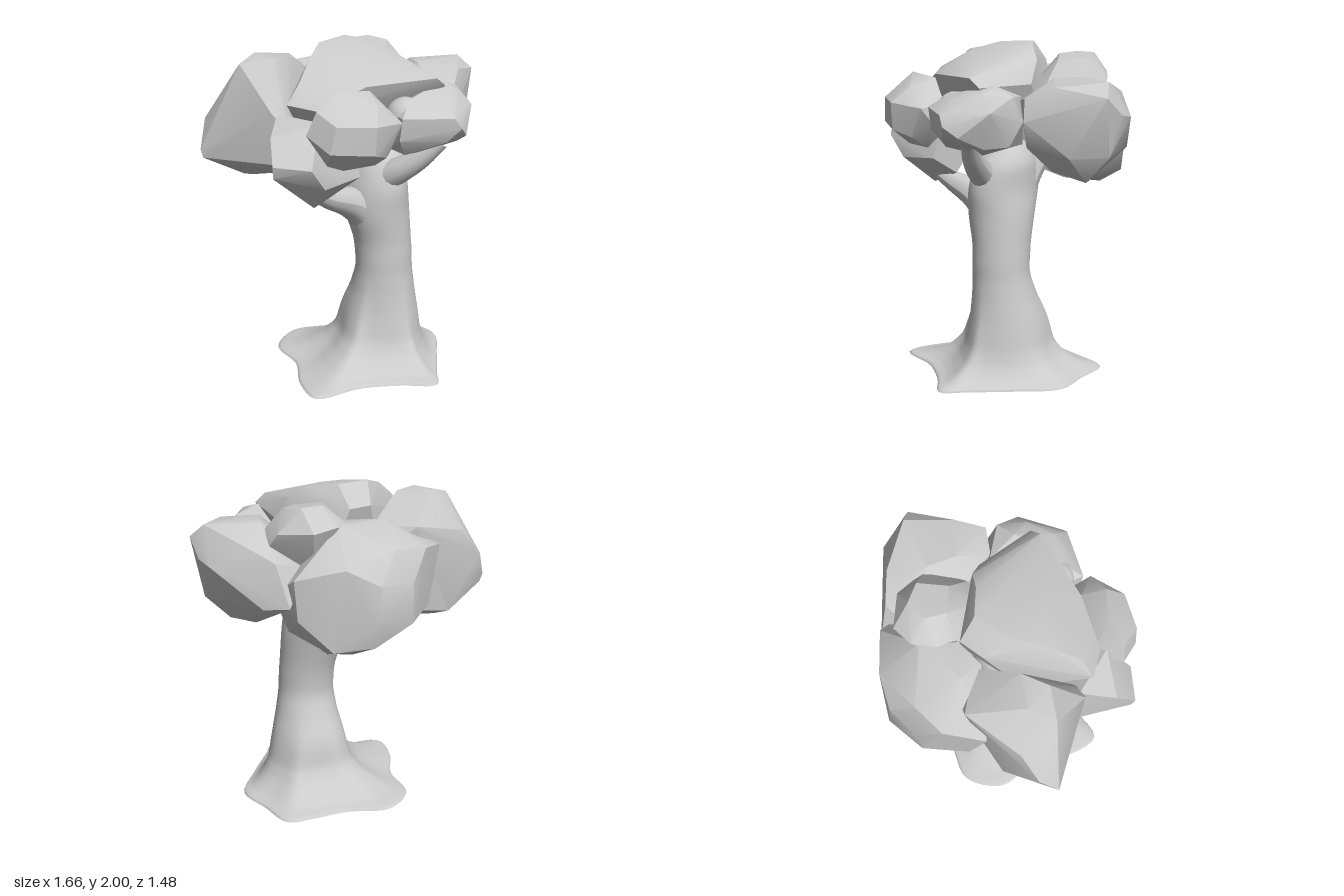
import * as THREE from 'three';
import { ConvexGeometry } from 'three/addons/geometries/ConvexGeometry.js';
import { toCreasedNormals } from 'three/addons/utils/BufferGeometryUtils.js';

const material = new THREE.MeshStandardMaterial({ color: 0xcccccc });
const vec = (p) => new THREE.Vector3(...p);

function addMesh(group, name, geometry) {
  const mesh = new THREE.Mesh(geometry, material);
  mesh.name = name;
  group.add(mesh);
}

// Outline of the spreading root flare on the ground (x, z)
const rootOutline = new THREE.CatmullRomCurve3([
  [0.52, 0.19], [0.33, 0.4], [0.14, 0.58], [0.02, 0.69], [-0.14, 0.55], [-0.35, 0.41], [-0.62, 0.33],
  [-0.57, 0.12], [-0.42, -0.1], [-0.37, -0.33], [-0.28, -0.42], [-0.12, -0.47], [0.1, -0.36],
  [0.3, -0.32], [0.47, -0.27], [0.5, -0.04],
].map(([x, z]) => new THREE.Vector3(x, 0, z)), true);

// Trunk: loops that change from the root outline into ellipses
function trunkGeometry(around = 72, up = 60) {
  // height, centre x, centre z, radius x, radius z, share of root outline
  const rows = [
    [0, 0.08, 0.16, 0.2, 0.2, 1], [0.012, 0.08, 0.16, 0.2, 0.2, 0.97],
    [0.03, 0.08, 0.16, 0.2, 0.2, 0.78], [0.06, 0.08, 0.16, 0.2, 0.2, 0.6],
    [0.12, 0.08, 0.16, 0.2, 0.2, 0.38], [0.2, 0.08, 0.16, 0.2, 0.205, 0.22],
    [0.35, 0.075, 0.155, 0.2, 0.21, 0.1], [0.5, 0.065, 0.175, 0.185, 0.187, 0.03],
    [0.65, 0.055, 0.19, 0.175, 0.17, 0], [0.8, 0.05, 0.18, 0.175, 0.175, 0],
    [1.0, 0.025, 0.15, 0.195, 0.205, 0], [1.15, 0.02, 0.125, 0.185, 0.235, 0],
    [1.3, 0.04, 0.12, 0.165, 0.2, 0], [1.45, 0.05, 0.08, 0.09, 0.09, 0],
  ];
  const spine = new THREE.CatmullRomCurve3(rows.map((r) => vec(r.slice(0, 3))));
  const girth = new THREE.CatmullRomCurve3(rows.map((r) => vec(r.slice(3))));
  const position = [], index = [];
  for (let j = 0; j <= up; j++) {
    const s = spine.getPoint(j / up), g = girth.getPoint(j / up);
    for (let i = 0; i < around; i++) {
      const b = rootOutline.getPoint(i / around);
      const a = Math.atan2(b.z - 0.16, b.x - 0.06);
      const x = s.y + g.x * Math.cos(a), z = s.z + g.y * Math.sin(a);
      position.push(x + (b.x - x) * g.z, Math.max(0, s.x), z + (b.z - z) * g.z);
      if (j === up) continue;
      const p = j * around + i, q = j * around + (i + 1) % around;
      index.push(p, p + around, q, q, p + around, q + around);
    }
  }
  const geometry = new THREE.BufferGeometry();
  geometry.setAttribute('position', new THREE.Float32BufferAttribute(position, 3));
  geometry.setIndex(index);
  geometry.computeVertexNormals();
  return geometry;
}

// Tapered limb: a tube whose loops shrink along its path
function limbGeometry(points, r0, r1) {
  const path = new THREE.CatmullRomCurve3(points.map(vec));
  const along = 14, around = 14;
  const geometry = new THREE.TubeGeometry(path, along, r0, around);
  const pos = geometry.attributes.position, v = new THREE.Vector3();
  for (let k = 0; k < pos.count; k++) {
    const t = Math.floor(k / (around + 1)) / along;
    const c = path.getPointAt(t);
    v.fromBufferAttribute(pos, k).sub(c).multiplyScalar(1 + (r1 / r0 - 1) * t).add(c);
    pos.setXYZ(k, v.x, v.y, v.z);
  }
  geometry.computeVertexNormals();
  return geometry;
}

export function createModel() {
  const tree = new THREE.Group();
  tree.name = 'tree';

  addMesh(tree, 'trunk', trunkGeometry());
  const base = new THREE.Shape(rootOutline.getPoints(72).map((p) => new THREE.Vector2(p.x, p.z)));
  addMesh(tree, 'trunkUnderside', new THREE.ShapeGeometry(base).rotateX(Math.PI / 2));

  // Branches
  const limb = (name, r0, r1, ...points) => addMesh(tree, name, limbGeometry(points, r0, r1));
  limb('rightBranch', 0.13, 0.03, [0.0, 0.95, 0.15], [-0.18, 1.07, 0.15], [-0.36, 1.14, 0.17], [-0.55, 1.23, 0.2]);
  limb('backBranch', 0.14, 0.03, [0.03, 0.97, 0.12], [-0.03, 1.07, -0.05], [-0.15, 1.14, -0.23], [-0.28, 1.22, -0.4]);
  limb('frontBranch', 0.1, 0.045, [0.0, 1.16, 0.16], [0.02, 1.25, 0.31], [0.08, 1.35, 0.45], [0.15, 1.47, 0.56]);
  limb('leftBranch', 0.11, 0.06, [0.09, 1.0, 0.12], [0.1, 1.2, 0.02], [0.14, 1.35, -0.08], [0.22, 1.5, -0.18]);

  // Foliage: each clump is the hull of its main corners, with shallow edges softened
  const clump = (name, ...corners) =>
    addMesh(tree, name, toCreasedNormals(new ConvexGeometry(corners.map(vec)), 0.5));
  clump('topFoliage',
    [-0.2, 1.99, -0.1], [0.03, 2, -0.14], [0.14, 1.98, 0], [0.03, 1.88, -0.26], [-0.12, 1.88, -0.25],
    [0.28, 1.78, 0.18], [0.23, 1.91, 0.07], [0.13, 1.83, 0.53], [0.2, 1.78, 0.53], [-0.22, 1.94, 0.16],
    [0.05, 1.87, 0.4], [-0.28, 1.82, 0.39], [-0.05, 1.76, 0.41], [-0.61, 1.72, 0.1], [-0.53, 1.7, 0.26],
    [-0.35, 1.94, 0], [-0.52, 1.83, 0.1], [0.02, 1.98, 0.04],
    [-0.4, 1.5, 0.2], [0.15, 1.45, 0.2], [0.15, 1.4, -0.15], [-0.3, 1.4, -0.1]);
  clump('backRightFoliage',
    [-0.83, 1.4, -0.43], [-0.82, 1.35, -0.42], [-0.74, 1.56, -0.5], [-0.65, 1.9, -0.27], [-0.5, 1.94, -0.32],
    [-0.5, 1.93, -0.15], [-0.24, 1.8, -0.53], [-0.34, 1.93, -0.2], [-0.1, 1.78, -0.3], [-0.12, 1.68, -0.46],
    [-0.64, 1.66, 0], [-0.58, 1.55, 0.08], [-0.6, 1.35, 0], [-0.5, 1.19, -0.38], [-0.36, 1.19, -0.3],
    [-0.2, 1.28, -0.42], [-0.5, 1.25, -0.52], [-0.25, 1.4, -0.1], [-0.62, 1.24, -0.3], [-0.6, 1.72, -0.49]);
  clump('backFoliage',
    [-0.4, 1.68, -0.54], [-0.2, 1.72, -0.67], [-0.07, 1.56, -0.74], [0.14, 1.57, -0.73], [0.16, 1.36, -0.74],
    [-0.08, 1.32, -0.73], [0.3, 1.66, -0.63], [0.5, 1.58, -0.42], [0.49, 1.35, -0.44], [0.36, 1.19, -0.6],
    [0.2, 1.13, -0.54], [0, 1.13, -0.52], [0.3, 1.13, -0.46], [0.22, 1.18, -0.2], [0.43, 1.22, -0.24],
    [-0.1, 1.84, -0.4], [0.2, 1.84, -0.4], [0.05, 1.82, -0.25], [-0.12, 1.8, -0.26], [-0.3, 1.35, -0.58],
    [-0.15, 1.25, -0.2], [0.5, 1.45, -0.18], [0, 1.74, -0.66], [0.15, 1.21, -0.7]);
  clump('leftFoliage',
    [0.4, 1.82, 0.12], [0.48, 1.82, -0.03], [0.77, 1.82, 0.1], [0.82, 1.74, 0.18], [0.83, 1.64, 0.06],
    [0.82, 1.62, -0.04], [0.78, 1.4, 0.1], [0.62, 1.24, 0.1], [0.55, 1.25, -0.08], [0.45, 1.3, 0.2],
    [0.43, 1.6, 0.42], [0.42, 1.73, 0.4], [0.3, 1.7, 0.3], [0.28, 1.7, 0.08], [0.4, 1.45, 0.36],
    [0.55, 1.66, -0.31], [0.52, 1.42, -0.41], [0.62, 1.4, -0.29], [0.3, 1.35, 0.05], [0.35, 1.6, -0.3],
    [0.56, 1.79, 0.3], [0.66, 1.74, -0.17], [0.64, 1.4, 0.28]);
  clump('rightFoliage',
    [-0.83, 1.44, 0.24], [-0.82, 1.37, 0.23], [-0.76, 1.57, 0.14], [-0.6, 1.65, 0], [-0.68, 1.42, 0.39],
    [-0.58, 1.29, 0.38], [-0.32, 1.31, 0.38], [-0.5, 1.12, 0.19], [-0.3, 1.2, 0.2], [-0.6, 1.28, -0.04],
    [-0.55, 1.65, 0.3], [-0.3, 1.55, 0.3], [-0.3, 1.4, 0]);
  clump('frontRightFoliage',
    [-0.66, 1.6, 0.32], [-0.62, 1.73, 0.36], [-0.63, 1.52, 0.48], [-0.6, 1.67, 0.5], [-0.48, 1.82, 0.38],
    [-0.42, 1.66, 0.62], [-0.42, 1.5, 0.61], [-0.2, 1.64, 0.59], [-0.27, 1.8, 0.4], [-0.16, 1.66, 0.44],
    [-0.17, 1.54, 0.52], [-0.28, 1.39, 0.46], [-0.48, 1.39, 0.42], [-0.5, 1.6, 0.25], [-0.28, 1.5, 0.28],
    [-0.34, 1.75, 0.54], [-0.3, 1.46, 0.57], [-0.58, 1.43, 0.4]);
  clump('frontFoliage',
    [-0.17, 1.52, 0.54], [-0.17, 1.65, 0.56], [-0.06, 1.73, 0.5], [0.25, 1.79, 0.45], [0.38, 1.74, 0.45],
    [0.35, 1.66, 0.6], [0.12, 1.58, 0.74], [0.08, 1.64, 0.72], [0.2, 1.52, 0.7], [0.41, 1.6, 0.4],
    [0.36, 1.46, 0.46], [0.15, 1.39, 0.45], [-0.09, 1.42, 0.5], [0.28, 1.72, 0.27], [0.3, 1.45, 0.28],
    [-0.05, 1.42, 0.3], [-0.1, 1.65, 0.38], [0.1, 1.73, 0.62], [0.26, 1.75, 0.57], [0.06, 1.5, 0.68],
    [0.27, 1.45, 0.57]);
  clump('upperLeftFoliage',
    [0.18, 1.93, -0.2], [0.24, 1.94, -0.3], [0.37, 1.94, -0.29], [0.42, 1.92, -0.17], [0.28, 1.9, -0.06],
    [0.06, 1.8, -0.26], [0.1, 1.82, -0.36], [0.23, 1.84, -0.43], [0.37, 1.82, -0.42], [0.5, 1.8, -0.25],
    [0.52, 1.72, -0.19], [0.5, 1.73, -0.02], [0.28, 1.73, 0.08], [0.14, 1.76, 0], [0.3, 1.5, -0.3],
    [0.42, 1.5, -0.1], [0.2, 1.5, -0.05]);

  // Small clump filling the gap at the front
  addMesh(tree, 'smallFrontFoliage', new THREE.SphereGeometry(0.11, 16, 12).translate(-0.05, 1.63, 0.46));
  return tree;
}
